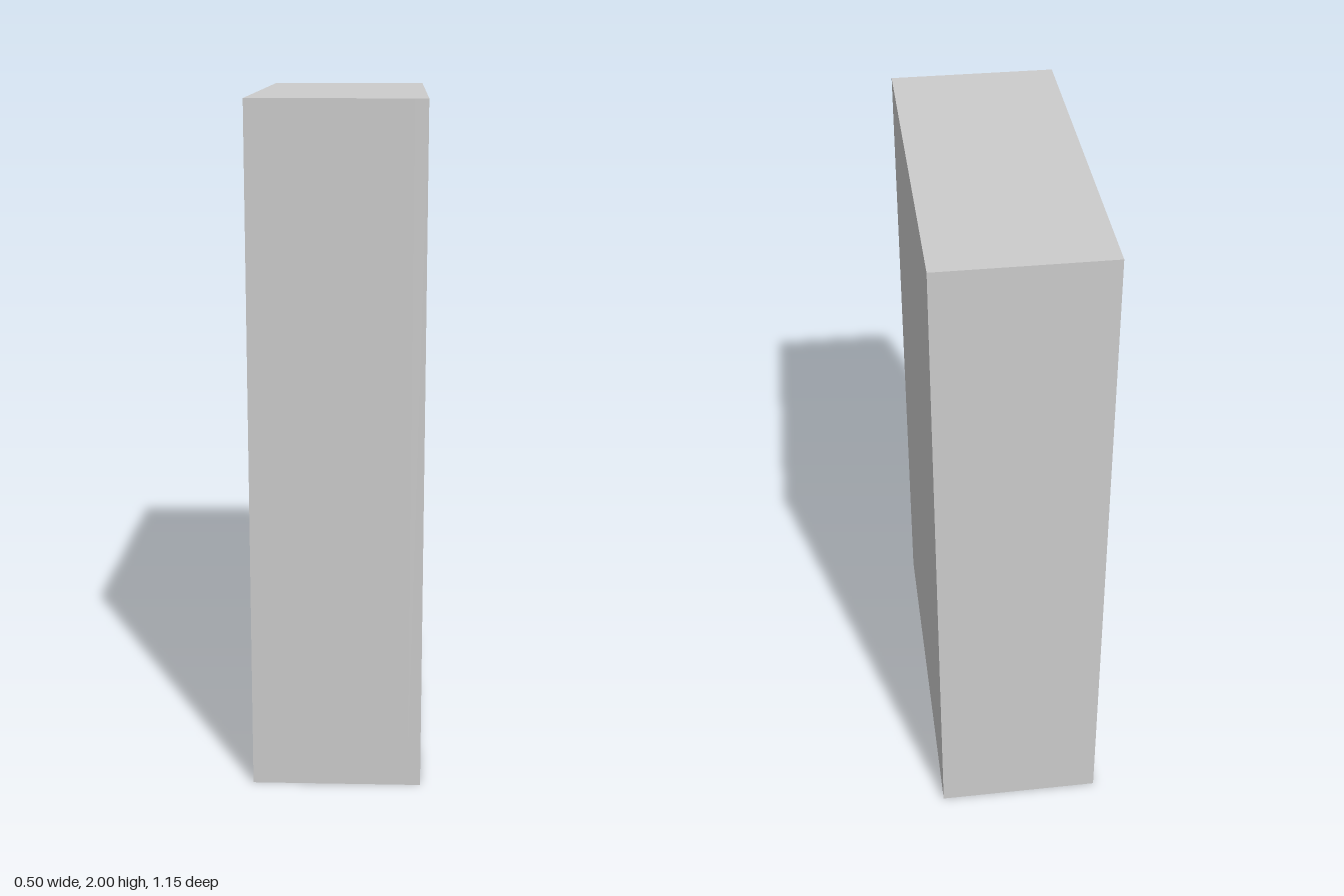
import * as THREE from 'three';

// Bookcase: closed panel on +x, open shelves facing -x.
const DEPTH = 0.496, HEIGHT = 2, WIDTH = 1.15;
const BOARD = 0.016, BACK = 0.038;

export function createModel() {
  const group = new THREE.Group();
  group.name = 'bookcase';
  const grey = new THREE.MeshStandardMaterial({ color: 0xcccccc });
  grey.name = 'light grey';

  const board = (name, w, h, d, x, y, z) => {
    const mesh = new THREE.Mesh(new THREE.BoxGeometry(w, h, d), grey);
    mesh.name = name;
    mesh.position.set(x, y, z);
    group.add(mesh);
  };

  const innerDepth = DEPTH - BACK;
  const innerWidth = WIDTH - 2 * BOARD;
  const innerX = -BACK / 2;

  // Closed panel behind the shelves
  board('backPanel', BACK, HEIGHT, WIDTH, DEPTH / 2 - BACK / 2, HEIGHT / 2, 0);

  // Upright ends
  for (const side of [1, -1]) {
    board(side > 0 ? 'frontEndPanel' : 'rearEndPanel', innerDepth, HEIGHT, BOARD,
      innerX, HEIGHT / 2, side * (WIDTH - BOARD) / 2);
  }

  // Base, three shelves and top, placed by their upper surfaces
  const levels = { base: BOARD, lowerShelf: 0.51, middleShelf: 1.03, upperShelf: 1.55, topBoard: HEIGHT };
  for (const [name, y] of Object.entries(levels)) {
    board(name, innerDepth, BOARD, innerWidth, innerX, y - BOARD / 2, 0);
  }
  return group;
}
